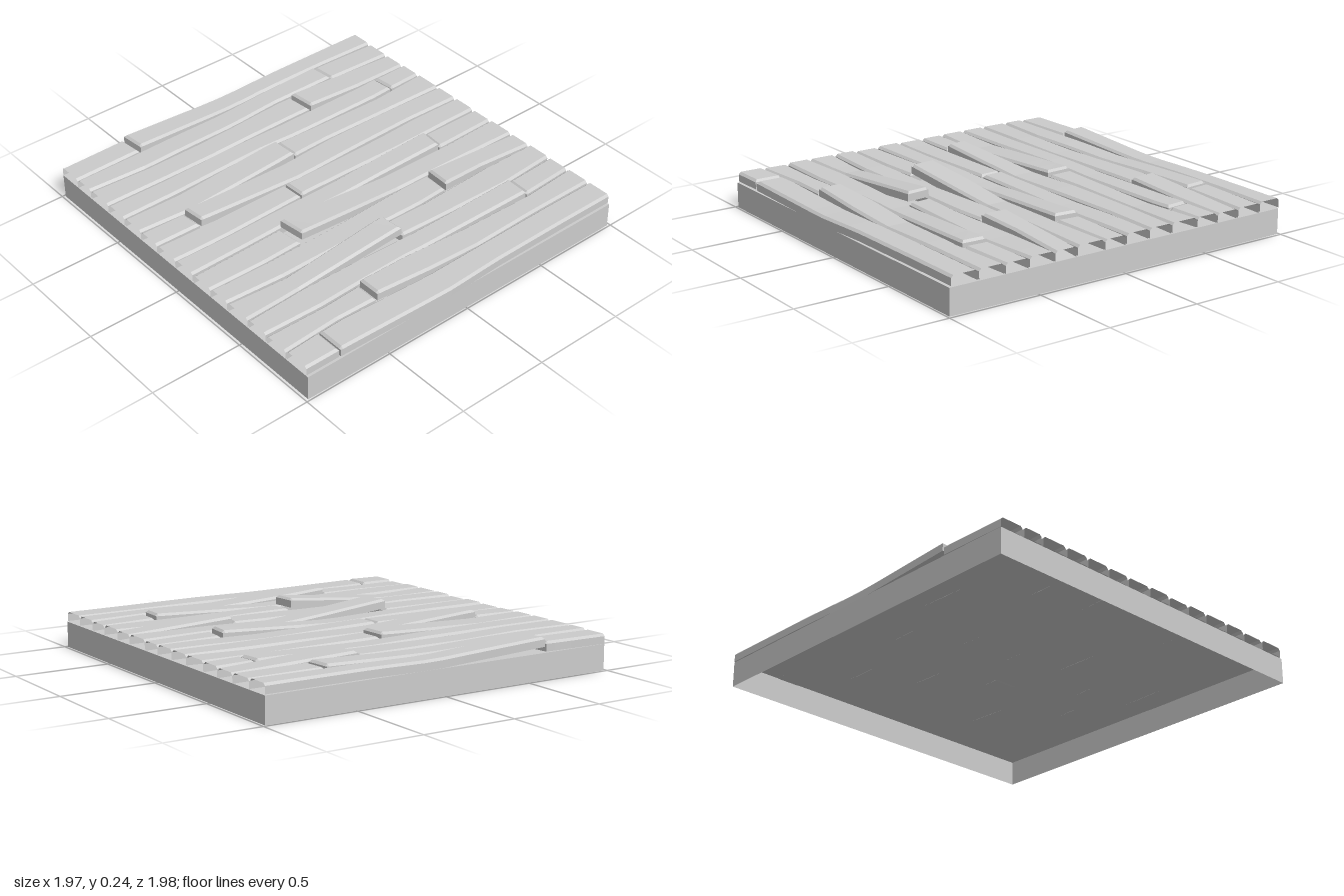
import * as THREE from 'three';

const END = 0.985, BOTTOM = 0.14, THICK = 0.05, BEVEL = 0.012, GAP = 0.005;

// z of the wavy seams between plank rows, back to front, at these x positions
const KNOTS = [-0.985, -0.66, -0.1, 0.2, 0.66, 0.985];
const SEAMS = [
  [-0.995, -0.995, -0.99, -0.995, -0.995, -0.995],
  [-0.85, -0.85, -0.86, -0.87, -0.87, -0.86],
  [-0.73, -0.71, -0.725, -0.74, -0.725, -0.715],
  [-0.575, -0.57, -0.58, -0.58, -0.57, -0.58],
  [-0.435, -0.435, -0.455, -0.445, -0.435, -0.45],
  [-0.295, -0.28, -0.295, -0.31, -0.305, -0.29],
  [-0.16, -0.15, -0.145, -0.15, -0.16, -0.15],
  [-0.01, -0.005, -0.015, -0.015, -0.01, -0.01],
  [0.13, 0.125, 0.11, 0.115, 0.13, 0.12],
  [0.27, 0.28, 0.265, 0.255, 0.27, 0.28],
  [0.40, 0.42, 0.41, 0.42, 0.40, 0.41],
  [0.555, 0.54, 0.55, 0.56, 0.57, 0.555],
  [0.69, 0.70, 0.68, 0.69, 0.71, 0.69],
  [0.835, 0.82, 0.84, 0.84, 0.835, 0.835],
  [0.985, 0.99, 1.0, 0.99, 0.985, 0.985],
];

// each row: joint x, lift of the left-hand piece at the joint, lift of the right-hand piece, joint slant
const ROWS = [
  [-0.60, 0, 0.025, 0.1], [0.59, 0.012, 0, 0.1], [0.32, 0, 0.02, 0.1], [0.78, 0.005, 0, 0.1],
  [-0.01, 0.02, 0, 0.05], [-0.73, 0, 0.03, 0.1], [-0.20, 0, 0.003, 0.05], [0.62, 0.025, 0, -0.1],
  [-0.44, 0, 0.055, 0.12], [0.40, 0, 0.03, -0.05], [-0.03, 0.053, 0, 0.1], [0.68, 0.02, 0, -0.05],
  [-0.43, 0, 0.03, 0], [-0.79, 0.003, 0, 0],
];

function seamAt(seam, x) {
  let i = 0;
  while (i < KNOTS.length - 2 && x > KNOTS[i + 1]) i++;
  return THREE.MathUtils.lerp(seam[i], seam[i + 1], (x - KNOTS[i]) / (KNOTS[i + 1] - KNOTS[i]));
}

// lifted at the joint, falling to a slight sag, then level again
function liftAt(rise, d) {
  if (d < 0.65) return rise - (rise + 0.007) * d / 0.65;
  return -0.007 * Math.max(0, 1 - (d - 0.65) / 0.35);
}

// One plank: bevelled cross-sections along x, capped at the joint, open at the floor's edge
function plankGeometry(row, side) {
  const [joint, leftRise, rightRise, slant] = ROWS[row];
  const rise = side < 0 ? leftRise : rightRise;
  const start = joint + side * GAP;
  const xs = [start, start + side * BEVEL, side * END];
  for (let i = -8; i <= 8; i++) {
    const x = i * 0.11;
    if ((x - start) * side > 0.03) xs.push(x);
  }
  xs.sort((a, b) => a - b);

  const pos = [], index = [];
  xs.forEach((x) => {
    const z0 = seamAt(SEAMS[row], x) + GAP, z1 = seamAt(SEAMS[row + 1], x) - GAP;
    const y0 = BOTTOM + liftAt(rise, Math.abs(x - joint));
    const shoulder = y0 + THICK - BEVEL;
    const top = x === start ? shoulder : y0 + THICK;
    const lean = slant * Math.max(0, 1 - Math.abs(x - joint) / 0.2);
    const ring = [[z0, y0], [z0, shoulder], [z0 + BEVEL, top],
      [z1 - BEVEL, top], [z1, shoulder], [z1, y0]];
    for (const [z, y] of ring) pos.push(x + lean * (z - (z0 + z1) / 2), y, z);
  });
  for (let i = 0; i < xs.length - 1; i++) {
    for (let j = 0; j < 6; j++) {
      const k = (j + 1) % 6, a = i * 6 + j, b = i * 6 + k;
      index.push(a, b, b + 6, a, b + 6, a + 6);
    }
  }
  const cap = side < 0 ? (xs.length - 1) * 6 : 0;
  for (let j = 1; j < 5; j++) {
    if (side < 0) index.push(cap, cap + j, cap + j + 1);
    else index.push(cap, cap + j + 1, cap + j);
  }
  const g = new THREE.BufferGeometry();
  g.setAttribute('position', new THREE.Float32BufferAttribute(pos, 3));
  g.setIndex(index);
  const flat = g.toNonIndexed();
  flat.computeVertexNormals();
  return flat;
}

export function createModel() {
  const model = new THREE.Group();
  model.name = 'plankFloor';
  const material = new THREE.MeshStandardMaterial({
    color: 0xcccccc, flatShading: true, side: THREE.DoubleSide,
  });

  // Hollow base, open underneath (the box's downward face is dropped)
  const baseGeometry = new THREE.BoxGeometry(END * 2, 0.135, 1.98);
  baseGeometry.setIndex(Array.from(baseGeometry.index.array).filter((_, i) => i < 18 || i >= 24));
  baseGeometry.clearGroups();
  const base = new THREE.Mesh(baseGeometry, material);
  base.name = 'base';
  base.position.y = 0.0675;
  model.add(base);

  // Fourteen rows of two planks
  const planks = new THREE.Group();
  planks.name = 'planks';
  ROWS.forEach((_, row) => {
    for (const side of [-1, 1]) {
      const plank = new THREE.Mesh(plankGeometry(row, side), material);
      plank.name = `plankRow${row + 1}${side < 0 ? 'Right' : 'Left'}`;
      planks.add(plank);
    }
  });
  model.add(planks);
  return model;
}
